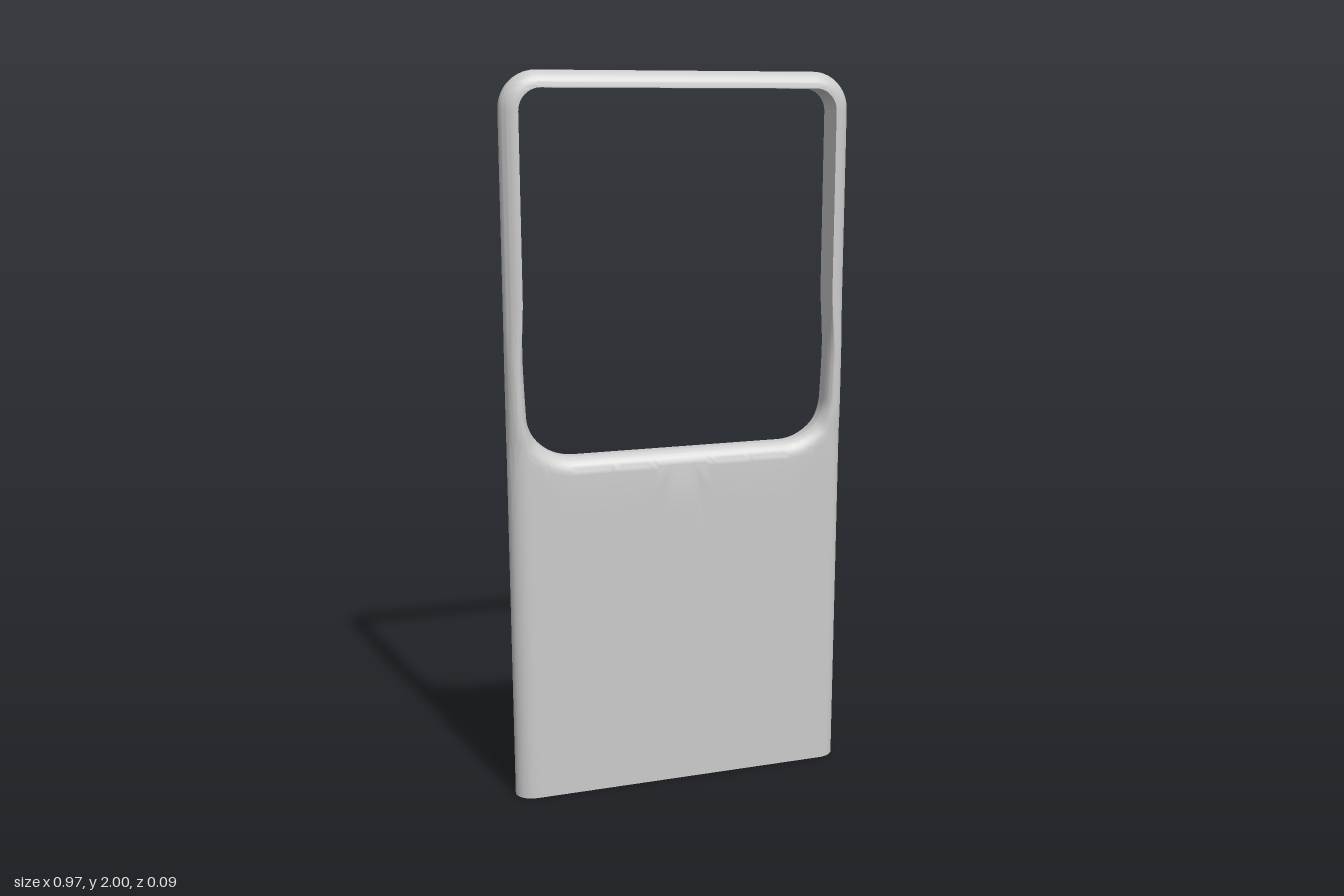
import * as THREE from 'three';
import { toCreasedNormals } from 'three/addons/utils/BufferGeometryUtils.js';

const HALF_W = 0.485, TOP = 2, CORNER = 0.1;
const lerp = THREE.MathUtils.lerp;

// distance inwards from the outer outline (rounded on top, open at the base)
function edgeDistance(x, y) {
  const qx = Math.abs(x) - (HALF_W - CORNER), qy = y - (TOP - CORNER);
  const d = Math.hypot(Math.max(qx, 0), Math.max(qy, 0)) + Math.min(Math.max(qx, qy), 0);
  return Math.max(0, CORNER - d);
}

const quarterRound = (d, r) => Math.sqrt(Math.max(0, 1 - Math.max(0, 1 - d / r) ** 2));

// pairs [window edge x, y, outer edge x, y] for the left half, top to base
function halfOutline() {
  const pairs = [];
  const add = (n, f) => { for (let i = 0; i < n; i++) pairs.push(f(i / n)); };
  const c = (t) => Math.cos(t * Math.PI / 2), s = (t) => Math.sin(t * Math.PI / 2);
  // top bar and its corner
  add(6, (t) => [0.38 * t, 1.955, 0.385 * t, 2]);
  add(14, (t) => [0.38 + 0.06 * s(t), 1.895 + 0.06 * c(t), 0.385 + 0.1 * s(t), 1.9 + 0.1 * c(t)]);
  // side post, slightly wider towards the panel
  add(8, (t) => [0.44, lerp(1.895, 1.4, t), HALF_W, lerp(1.9, 1.4, t)]);
  add(10, (t) => [0.44 - 0.008 * t * t, lerp(1.4, 1.1, t), HALF_W, lerp(1.4, 1.1, t)]);
  // lower window corner, fanning out to the side of the panel
  add(20, (t) => [0.30 + 0.132 * c(t), 1.1 - 0.12 * s(t), HALF_W, 1.1 * (1 - t * t)]);
  // sill down to the base
  add(28, (t) => [0.30 * (1 - t), 0.98, HALF_W * c(t), 0]);
  pairs.push([0, 0.98, 0, 0]);
  return pairs;
}

// closed cross-section from window edge to outer edge on the front, and back again
function section([ix, iy, ox, oy]) {
  const gap = Math.hypot(ox - ix, oy - iy);
  const low = 1 - THREE.MathUtils.smoothstep(iy, 0.98, 1.42);
  const ri = Math.min(Math.max(0.0002, 0.05 * low), gap * 0.4);
  const ro = Math.min(lerp(0.045, 0.055, low), gap - ri);
  const zone = Math.min(gap - ri, ro * gap / Math.max(1e-4, Math.abs(ox - ix)));
  const steps = [];
  for (let i = 0; i < 8; i++) steps.push(ri * (1 - Math.cos(i / 8 * Math.PI / 2)));
  for (let i = 0; i < 6; i++) steps.push(lerp(ri, gap - zone, i / 6));
  for (let i = 0; i <= 12; i++) steps.push(gap - zone * (1 - Math.cos((1 - i / 12) * Math.PI / 2)));
  const front = steps.map((d) => {
    const x = lerp(ix, ox, d / gap), y = lerp(iy, oy, d / gap);
    const depth = lerp(0.045, 0.042, THREE.MathUtils.smoothstep(y, 0.95, 1.2));
    return [x, y, depth * quarterRound(d, ri) * quarterRound(edgeDistance(x, y), ro)];
  });
  return [...front, ...front.map(([x, y, z]) => [x, y, -z]).reverse()];
}

export function createModel() {
  const group = new THREE.Group();
  group.name = 'framedPanel';

  const half = halfOutline();
  const mirrored = half.slice(1, -1).reverse().map(([a, b, c, d]) => [-a, b, -c, d]);
  const loops = [...half, ...mirrored].map(section);
  const n = loops.length, m = loops[0].length;

  // skin the ring of cross-sections
  const index = [];
  for (let i = 0; i < n; i++) {
    for (let j = 0; j < m; j++) {
      const a = i * m + j, b = ((i + 1) % n) * m + j;
      const a2 = i * m + (j + 1) % m, b2 = ((i + 1) % n) * m + (j + 1) % m;
      index.push(a, b, a2, b, b2, a2);
    }
  }
  const geometry = new THREE.BufferGeometry();
  geometry.setAttribute('position', new THREE.Float32BufferAttribute(loops.flat(2), 3));
  geometry.setIndex(index);

  const panel = new THREE.Mesh(
    toCreasedNormals(geometry, 0.7),
    new THREE.MeshStandardMaterial({ color: 0xcccccc })
  );
  panel.name = 'panelWithWindowFrame';
  group.add(panel);
  return group;
}
